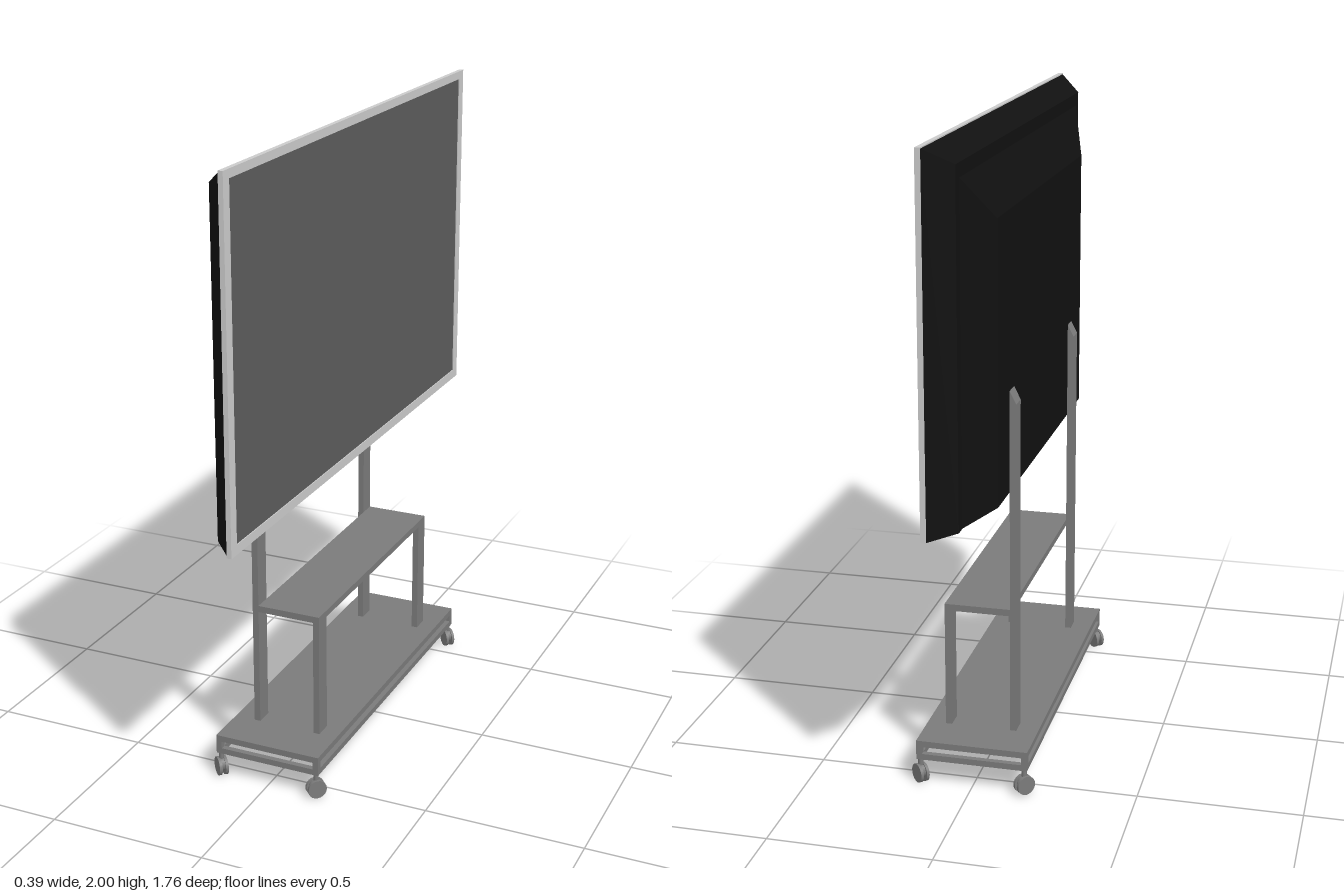
import * as THREE from 'three';

const mat = (color, extra = {}) => new THREE.MeshStandardMaterial({ color, ...extra });

export function createModel() {
  const root = new THREE.Group();
  const steel = mat(0x7b7b7b), bezelMat = mat(0xcccccc), screenMat = mat(0x5c5c5c);
  const black = mat(0x111111, { flatShading: true });

  const add = (name, geo, material, parent = root) => {
    const mesh = new THREE.Mesh(geo, material);
    mesh.name = name;
    parent.add(mesh);
    return mesh;
  };
  // Box given by its minimum and maximum corners
  const box = (name, x0, x1, y0, y1, z0, z1, material = steel, parent = root) => {
    const mesh = add(name, new THREE.BoxGeometry(x1 - x0, y1 - y0, z1 - z0), material, parent);
    mesh.position.set((x0 + x1) / 2, (y0 + y1) / 2, (z0 + z1) / 2);
    return mesh;
  };

  // Bezel: rectangular ring facing +x, with the panel slightly recessed
  const ring = new THREE.Shape([[-0.88, 0.908], [0.88, 0.908], [0.88, 2], [-0.88, 2]]
    .map(p => new THREE.Vector2(...p)));
  ring.holes.push(new THREE.Path([[-0.845, 0.938], [-0.845, 1.974], [0.845, 1.974], [0.845, 0.938]]
    .map(p => new THREE.Vector2(...p))));
  const bezel = new THREE.ExtrudeGeometry(ring, { depth: 0.015, bevelEnabled: false });
  bezel.rotateY(Math.PI / 2);
  add('bezel', bezel, bezelMat).position.x = 0.042;
  box('screen', 0.042, 0.054, 0.938, 1.974, -0.845, 0.845, screenMat);

  // Housing: rectangular sections stepping back from the bezel [x, half width, bottom, top]
  const sections = [
    [0.043, 0.875, 0.908, 1.997],
    [-0.03, 0.795, 0.914, 1.946],
    [-0.03, 0.755, 0.914, 1.905],
    [-0.088, 0.575, 0.918, 1.765],
  ].map(([x, w, y0, y1]) => [[x, y0, w], [x, y0, -w], [x, y1, -w], [x, y1, w]]);
  const pos = [];
  const tri = (...corners) => corners.forEach(c => pos.push(...c));
  for (let s = 0; s < sections.length - 1; s++) {
    const f = sections[s], b = sections[s + 1];
    for (let i = 0; i < 4; i++) {
      const j = (i + 1) % 4;
      tri(f[i], b[i], f[j]);
      tri(f[j], b[i], b[j]);
    }
  }
  const first = sections[0], last = sections[sections.length - 1];
  tri(first[0], first[1], first[2]);
  tri(first[0], first[2], first[3]);
  tri(last[0], last[2], last[1]);
  tri(last[0], last[3], last[2]);
  const housing = new THREE.BufferGeometry();
  housing.setAttribute('position', new THREE.Float32BufferAttribute(pos, 3));
  housing.computeVertexNormals();
  add('backHousing', housing, black);

  // Uprights with slanted tops, and the shelf legs
  const upright = new THREE.Shape([[-0.108, 0.138], [-0.088, 0.138], [-0.088, 1.23], [-0.108, 1.19]]
    .map(p => new THREE.Vector2(...p)));
  for (const s of [-1, 1]) {
    const geo = new THREE.ExtrudeGeometry(upright, { depth: 0.056, bevelEnabled: false });
    geo.translate(0, 0, s * 0.407 - 0.028);
    add('upright', geo, steel);
    box('shelfLeg', 0.097, 0.117, 0.138, 0.52, s * 0.407 - 0.028, s * 0.407 + 0.028);
  }
  box('shelf', -0.088, 0.117, 0.52, 0.541, -0.435, 0.435);

  // Base: top plate over an open rail frame on corner posts
  const X = 0.174, Z = 0.57, t = 0.018;
  box('basePlate', -X, X, 0.12, 0.14, -Z, Z);
  for (const s of [-1, 1]) {
    const x = s * (X - t / 2), z = s * (Z - t / 2);
    box('longRail', x - t / 2, x + t / 2, 0.078, 0.097, -Z, Z);
    box('shortRail', -X + t, X - t, 0.078, 0.097, z - t / 2, z + t / 2);
  }

  // Corner posts and twin-wheel casters, axles pointing outwards
  for (const sx of [-1, 1]) for (const sz of [-1, 1]) {
    const px = sx * (X - t / 2), pz = sz * (Z - t / 2);
    box('cornerPost', px - t / 2, px + t / 2, 0.097, 0.12, pz - t / 2, pz + t / 2);

    const caster = new THREE.Group();
    caster.name = 'caster';
    caster.position.set(sx * 0.163, 0, sz * 0.56);
    caster.rotation.y = Math.atan2(-sz, sx); // local x becomes the outward diagonal
    root.add(caster);
    add('casterStem', new THREE.CylinderGeometry(0.008, 0.008, 0.04, 12), steel, caster).position.y = 0.06;
    for (const s of [-1, 1]) {
      const wheel = add('casterWheel', new THREE.CylinderGeometry(0.03, 0.03, 0.009, 20), steel, caster);
      wheel.rotation.z = Math.PI / 2;
      wheel.position.set(s * 0.01, 0.03, 0);
    }
    const hood = add('casterHood', new THREE.CylinderGeometry(0.022, 0.022, 0.012, 16), steel, caster);
    hood.rotation.z = Math.PI / 2;
    hood.position.y = 0.036;
  }
  return root;
}
